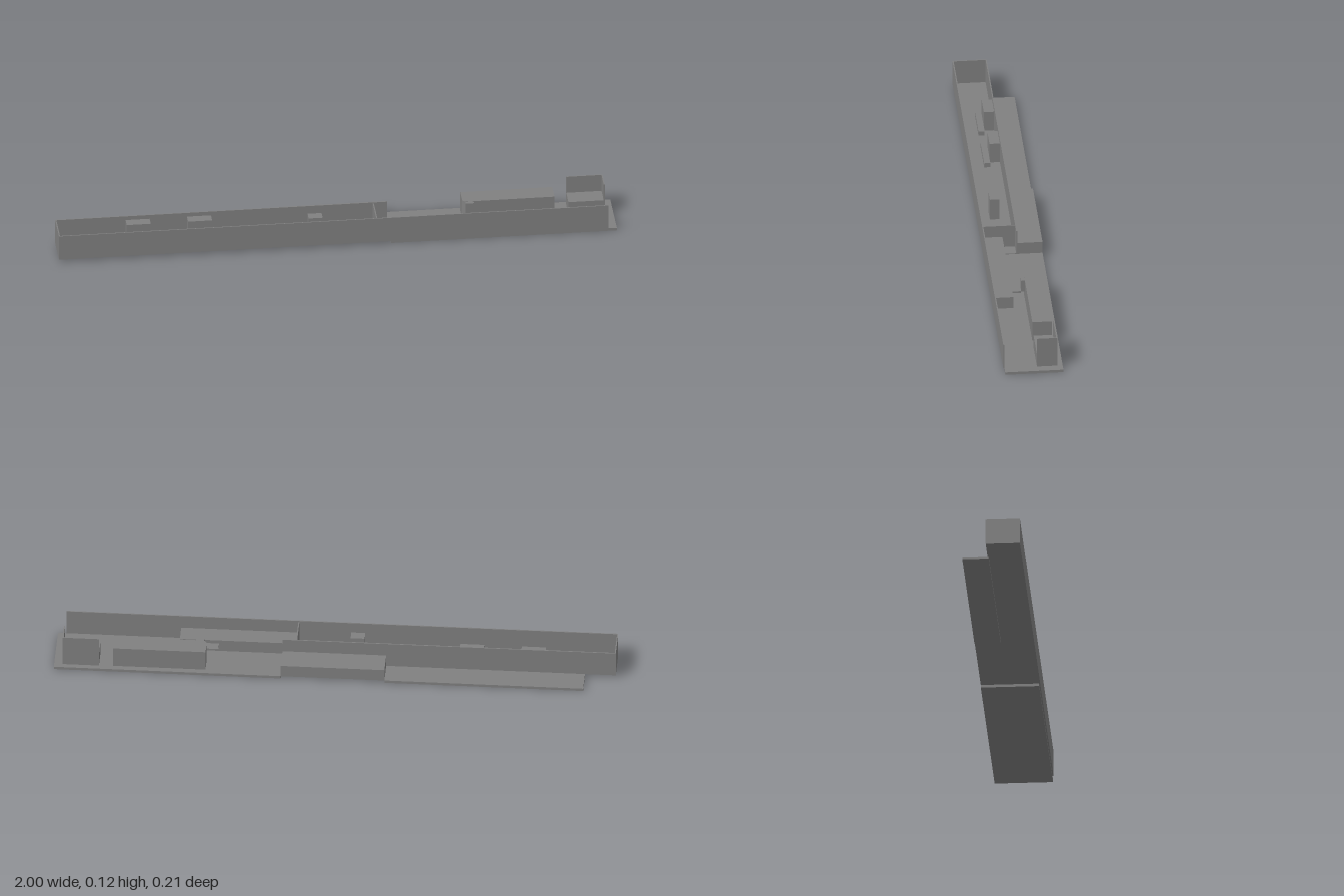
import * as THREE from 'three';

export function createModel() {
  const model = new THREE.Group();
  model.name = 'channelAssembly';
  const grey = new THREE.MeshStandardMaterial({ color: 0x808080 });
  grey.name = 'plainGrey';

  // box given by its limits on each axis
  function box(name, x0, x1, y0, y1, z0, z1) {
    const mesh = new THREE.Mesh(new THREE.BoxGeometry(x1 - x0, y1 - y0, z1 - z0), grey);
    mesh.position.set((x0 + x1) / 2, (y0 + y1) / 2, (z0 + z1) / 2);
    mesh.name = name;
    model.add(mesh);
  }

  // base plates
  box('mainBasePlate', 0.19, 1, 0, 0.01, -0.106, 0.102);
  box('rearBaseStrip', -0.89, -0.18, 0, 0.01, -0.106, -0.012);

  // long open channel
  box('channelFloor', -1, 0.19, 0.01, 0.013, -0.012, 0.103);
  box('frontWall', -1, 0.97, 0.01, 0.105, 0.102, 0.106);
  box('backWall', -1, 0.19, 0.01, 0.105, -0.016, -0.012);
  box('closedEnd', -1, -0.996, 0.01, 0.105, -0.014, 0.104);
  box('innerEnd', 0.138, 0.142, 0.01, 0.1, -0.014, 0.103);

  // low raised steps
  box('rearStep', -0.18, 0.19, 0.01, 0.055, -0.106, -0.014);
  box('frontStep', 0.142, 0.56, 0.01, 0.055, 0.033, 0.102);

  // fittings inside the channel
  for (const x of [-0.705, -0.485]) {
    box('channelBlock', x - 0.043, x + 0.043, 0.013, 0.09, -0.012, 0.025);
    box('channelFoot', x - 0.07, x + 0.075, 0.013, 0.03, 0.025, 0.047);
  }
  box('smallPost', -0.1, -0.05, 0.013, 0.095, 0.025, 0.06);

  // long counter with one clipped corner
  const plan = new THREE.Shape([
    [0.46, 0.085], [0.46, 0.025], [0.47, 0.014], [0.79, 0.014], [0.79, 0.085],
  ].map(([x, y]) => new THREE.Vector2(x, y)));
  const counterGeometry = new THREE.ExtrudeGeometry(plan, { depth: 0.076, bevelEnabled: false });
  counterGeometry.rotateX(-Math.PI / 2);
  const counter = new THREE.Mesh(counterGeometry, grey);
  counter.position.y = 0.01;
  counter.name = 'longCounter';
  model.add(counter);

  // bracket beside the counter
  box('bracketUpright', 0.47, 0.5, 0.04, 0.085, -0.014, -0.001);
  box('bracketShelf', 0.42, 0.5, 0.035, 0.042, -0.001, 0.033);

  // box with a tall corner screen
  box('cornerBox', 0.84, 0.967, 0.01, 0.06, -0.084, -0.014);
  box('screenBack', 0.84, 0.97, 0.01, 0.125, -0.087, -0.083);
  box('screenSide', 0.966, 0.97, 0.01, 0.125, -0.087, -0.014);

  return model;
}
